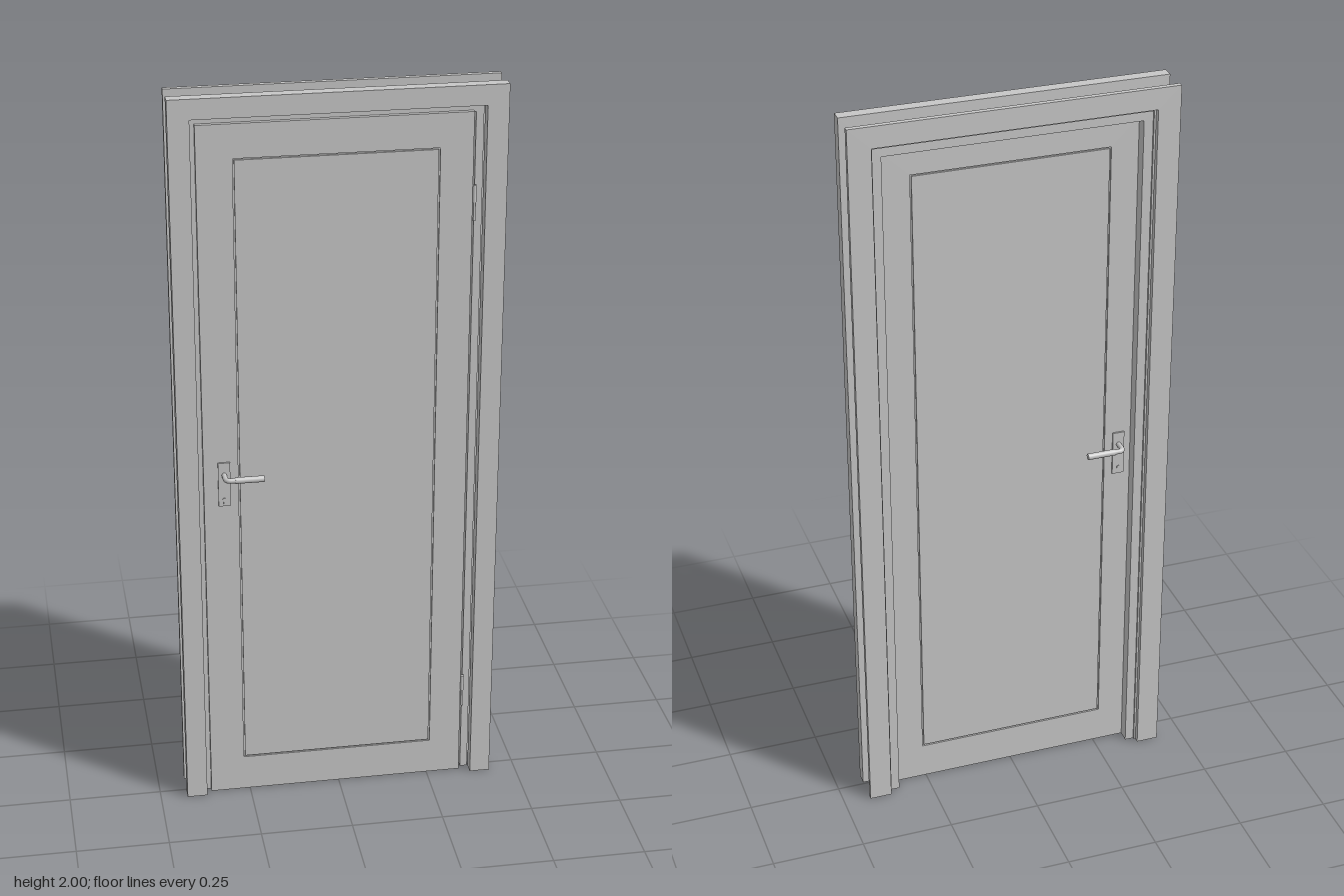
import * as THREE from 'three';

export function createModel() {
  const root = new THREE.Group();
  root.name = 'door';
  const grey = new THREE.MeshStandardMaterial({ color: 0xc7c7c7 });
  grey.name = 'light grey';

  const add = (parent, name, geometry, x = 0, y = 0, z = 0) => {
    const mesh = new THREE.Mesh(geometry, grey);
    mesh.name = name;
    mesh.position.set(x, y, z);
    parent.add(mesh);
    return mesh;
  };

  // Slab given by its limits on each axis
  const slab = (parent, name, x0, x1, y0, y1, z0, z1) =>
    add(parent, name, new THREE.BoxGeometry(x1 - x0, y1 - y0, z1 - z0),
      (x0 + x1) / 2, (y0 + y1) / 2, (z0 + z1) / 2);

  const polygon = (points) => points.map(([x, y]) => new THREE.Vector2(x, y));
  const extrude = (name, shape, z0, z1) =>
    add(root, name, new THREE.ExtrudeGeometry(shape, { depth: z1 - z0, bevelEnabled: false }), 0, 0, z0);

  // Three-sided surround, open at the floor
  const surround = (name, outerX, outerY, innerX, innerY, z0, z1) =>
    extrude(name, new THREE.Shape(polygon([
      [-outerX, 0], [-innerX, 0], [-innerX, innerY], [innerX, innerY],
      [innerX, 0], [outerX, 0], [outerX, outerY], [-outerX, outerY],
    ])), z0, z1);

  // Frame: thick front casing, stepped lining, thin back casing
  surround('frontCasing', 0.427, 2, 0.372, 1.947, 0.006, 0.038);
  surround('backCasing', 0.427, 2, 0.367, 1.943, -0.07, -0.056);
  surround('frameLining', 0.37, 1.943, 0.35, 1.922, -0.018, 0.006);
  surround('frameStop', 0.37, 1.943, 0.338, 1.91, -0.05, -0.018);
  surround('frameBackEdge', 0.37, 1.943, 0.362, 1.935, -0.056, -0.05);

  // Leaf face: a border and a flush centre panel with a narrow groove between
  const leafFace = (name, x0, x1, top, z0, z1) => {
    const border = new THREE.Shape(polygon([[x0, 0], [x1, 0], [x1, top], [x0, top]]));
    border.holes.push(new THREE.Path(polygon([
      [-0.266, 0.102], [-0.266, 1.837], [0.258, 1.837], [0.258, 0.102],
    ])));
    extrude(name + 'Border', border, z0, z1);
    slab(root, name + 'Panel', -0.262, 0.254, 0.106, 1.833, z0, z1);
  };

  // Leaf: core, overlapping front face and back face
  slab(root, 'leafCore', -0.346, 0.342, 0, 1.917, -0.012, 0.014);
  leafFace('leafFront', -0.358, 0.343, 1.927, 0.007, 0.019);
  leafFace('leafBack', -0.346, 0.342, 1.917, -0.017, -0.012);

  // Hinges: knuckle with a slimmer pin below
  for (const top of [1.735, 0.305]) {
    const hinge = new THREE.Group();
    hinge.name = 'hinge';
    add(hinge, 'hingeKnuckle', new THREE.CylinderGeometry(0.005, 0.005, 0.045, 16), 0.347, top - 0.0225, 0.021);
    add(hinge, 'hingePin', new THREE.CylinderGeometry(0.0035, 0.0035, 0.05, 16), 0.3475, top - 0.07, 0.021);
    root.add(hinge);
  }

  // Lever handle with its plate, measured outward from the leaf face
  const makeHandle = (name) => {
    const handle = new THREE.Group();
    handle.name = name;
    slab(handle, 'handlePlate', -0.32, -0.288, 0.885, 1.01, 0, 0.005);
    const path = new THREE.CurvePath();
    const v = (x, z) => new THREE.Vector3(x, 0.975, z);
    path.add(new THREE.LineCurve3(v(-0.304, 0), v(-0.304, 0.027)));
    path.add(new THREE.QuadraticBezierCurve3(v(-0.304, 0.027), v(-0.304, 0.0415), v(-0.291, 0.0415)));
    path.add(new THREE.LineCurve3(v(-0.291, 0.0415), v(-0.274, 0.0415)));
    add(handle, 'leverArm', new THREE.TubeGeometry(path, 24, 0.0068, 16));
    const grip = new THREE.CylinderGeometry(0.0085, 0.0085, 0.076, 24).rotateZ(Math.PI / 2);
    add(handle, 'leverGrip', grip, -0.241, 0.975, 0.0415);
    // Keyhole cover
    const cover = new THREE.CylinderGeometry(0.005, 0.005, 0.002, 16).rotateX(Math.PI / 2);
    add(handle, 'keyholeCover', cover, -0.305, 0.904, 0.006);
    slab(handle, 'keyholeSlot', -0.307, -0.303, 0.892, 0.903, 0.005, 0.0065);
    root.add(handle);
    return handle;
  };
  makeHandle('frontHandle').position.z = 0.019;
  const back = makeHandle('backHandle');
  back.position.z = -0.017;
  back.scale.z = -1;

  return root;
}
